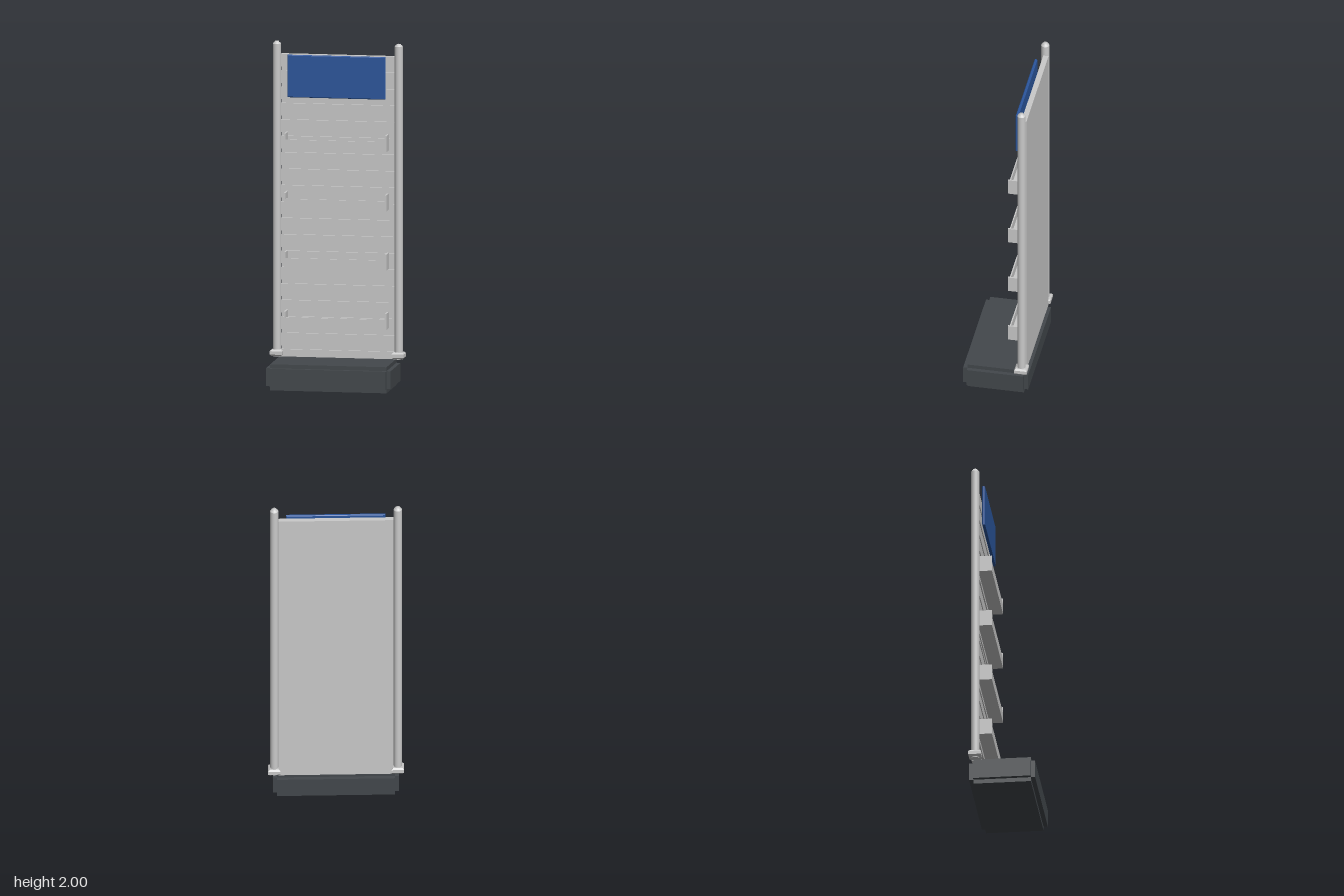
import * as THREE from 'three';

const silver = new THREE.MeshStandardMaterial({ color: 0xcacaca });
silver.name = 'silver grey';
const charcoal = new THREE.MeshStandardMaterial({ color: 0x43484c });
charcoal.name = 'charcoal';
const blue = new THREE.MeshStandardMaterial({ color: 0x2b569d });
blue.name = 'sign blue';

function add(parent, name, geometry, material, x = 0, y = 0, z = 0) {
  const mesh = new THREE.Mesh(geometry, material);
  mesh.name = name;
  mesh.position.set(x, y, z);
  parent.add(mesh);
  return mesh;
}

// Box given by its lowest and highest corner
function block(parent, name, material, [x0, y0, z0], [x1, y1, z1]) {
  return add(parent, name, new THREE.BoxGeometry(x1 - x0, y1 - y0, z1 - z0), material,
    (x0 + x1) / 2, (y0 + y1) / 2, (z0 + z1) / 2);
}

// Box with chamfered edges, centred on the origin, w by h and d deep along z
function chamferedBox(w, h, d, c) {
  const x = w / 2 - c, y = h / 2 - c;
  const shape = new THREE.Shape([[-x, -y], [x, -y], [x, y], [-x, y]].map(p => new THREE.Vector2(...p)));
  const geometry = new THREE.ExtrudeGeometry(shape, {
    depth: d - 2 * c, bevelEnabled: true, bevelThickness: c, bevelSize: c, bevelSegments: 1,
  });
  return geometry.translate(0, 0, -d / 2 + c);
}

// Base: three crossing boxes that leave stepped edges
function makeBase() {
  const base = new THREE.Group();
  base.name = 'base';
  block(base, 'baseCore', charcoal, [-0.342, 0, -0.167], [0.342, 0.153, 0.167]);
  block(base, 'baseSides', charcoal, [-0.366, 0.025, -0.167], [0.366, 0.13, 0.167]);
  block(base, 'baseFrontBack', charcoal, [-0.342, 0.025, -0.192], [0.342, 0.13, 0.192]);
  return base;
}

// Slotted back panel: a side profile with evenly spaced grooves, extruded across x
function makePanel() {
  const back = -0.179, front = -0.148, floor = -0.16, slots = 18;
  const points = [[back, 0.153], [front, 0.153]];
  for (let i = 0; i < slots; i++) {
    const y = 0.207 + i * 0.0961;
    points.push([front, y - 0.011], [floor, y - 0.011], [floor, y + 0.011], [front, y + 0.011]);
  }
  points.push([front, 1.925], [back, 1.925]);
  const shape = new THREE.Shape(points.map(([z, y]) => new THREE.Vector2(-z, y)));
  const geometry = new THREE.ExtrudeGeometry(shape, { depth: 0.666, bevelEnabled: false });
  // Shape x becomes -z, extrusion runs along x
  geometry.rotateY(Math.PI / 2).translate(-0.333, 0, 0);
  return geometry;
}

// Upright post with a domed cap and a chamfered foot clamp
function makePost(side) {
  const post = new THREE.Group();
  post.name = side > 0 ? 'leftPost' : 'rightPost';
  const tube = [[0.024, 0.153], [0.024, 1.984]];
  const cap = [[0.024, 1.984], [0.019, 1.992], [0.013, 1.993], [0.013, 1.999], [0, 2]];
  const lathe = pts => new THREE.LatheGeometry(pts.map(p => new THREE.Vector2(...p)), 20);
  add(post, 'postTube', lathe(tube), silver);
  add(post, 'postCap', lathe(cap), silver);
  const foot = chamferedBox(0.072, 0.074, 0.038, 0.009).rotateX(-Math.PI / 2);
  add(post, 'postFoot', foot, silver, 0, 0.176, 0);
  post.position.set(side * 0.358, 0, -0.155);
  return post;
}

// Open tray with tall ends, a low front lip and a hook strip below
function makeTray(y) {
  const tray = new THREE.Group();
  tray.name = 'tray';
  const back = -0.148, front = -0.064;
  for (const s of [-1, 1]) {
    add(tray, 'trayEnd', new THREE.BoxGeometry(0.01, 0.095, front - back), silver,
      s * 0.296, 0.0475, (back + front) / 2);
  }
  block(tray, 'trayFloor', silver, [-0.291, 0, back], [0.291, 0.007, front]);
  block(tray, 'trayLip', silver, [-0.291, 0, front - 0.007], [0.291, 0.06, front]);
  block(tray, 'trayHook', silver, [-0.27, -0.024, back], [0.27, 0, back + 0.006]);
  tray.position.y = y;
  return tray;
}

export function createModel() {
  const model = new THREE.Group();
  model.name = 'displayStand';
  model.add(makeBase());
  add(model, 'slottedPanel', makePanel(), silver);
  for (const side of [-1, 1]) model.add(makePost(side));
  for (let i = 0; i < 4; i++) model.add(makeTray(0.335 + i * 0.347));
  // Header sign standing off the panel
  add(model, 'headerSign', chamferedBox(0.576, 0.248, 0.017, 0.004), blue, 0, 1.802, -0.114);
  return model;
}
